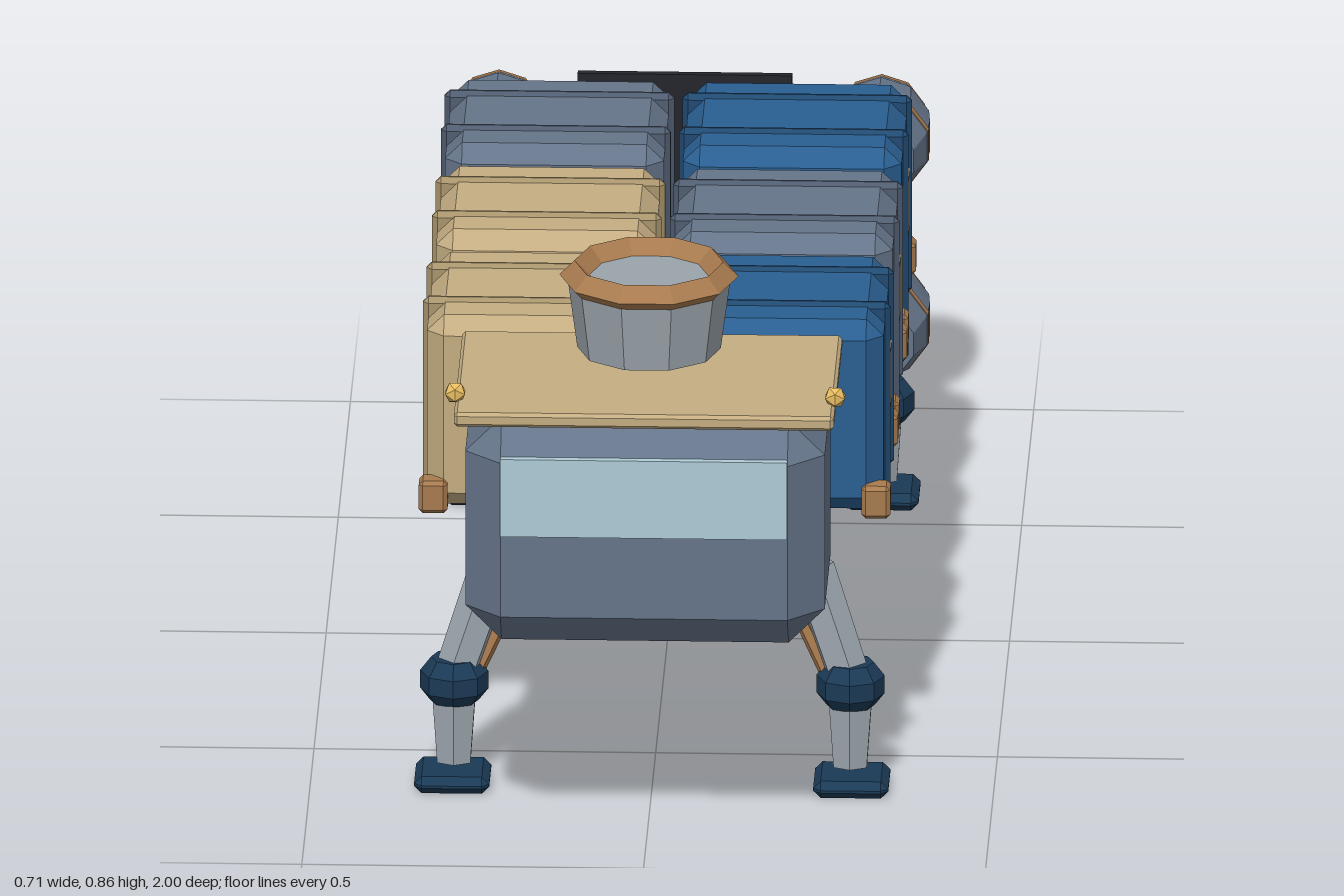
import * as THREE from 'three';
import { ConvexGeometry } from 'three/addons/geometries/ConvexGeometry.js';

const mat = (color) => new THREE.MeshStandardMaterial({ color, flatShading: true });
const M = {
  blue: mat(0x2a5f92), slate: mat(0x66758a), tan: mat(0xc4ad82), brown: mat(0xa87b4f),
  navy: mat(0x1b3a56), steel: mat(0x9aa3ab), gold: mat(0xe8bd62), glass: mat(0xaecbd6),
  dark: mat(0x23262d), darkBlue: mat(0x214a72), darkSlate: mat(0x505d70), darkTan: mat(0xa8946c),
};

function add(parent, name, geo, material, x = 0, y = 0, z = 0) {
  const m = new THREE.Mesh(geo, material);
  m.name = name;
  m.position.set(x, y, z);
  parent.add(m);
  return m;
}
const box = (w, h, d) => new THREE.BoxGeometry(w, h, d);

// Box with all edges and corners cut by c
function chamferBox(w, h, d, c) {
  const pts = [], [X, Y, Z] = [w / 2, h / 2, d / 2];
  for (const sx of [-1, 1]) for (const sy of [-1, 1]) for (const sz of [-1, 1]) {
    pts.push(
      new THREE.Vector3(sx * X, sy * (Y - c), sz * (Z - c)),
      new THREE.Vector3(sx * (X - c), sy * Y, sz * (Z - c)),
      new THREE.Vector3(sx * (X - c), sy * (Y - c), sz * Z));
  }
  return new ConvexGeometry(pts);
}

// Tapered bar running from point a to point b
function bar(parent, name, a, b, ra, rb, sides, material) {
  const A = new THREE.Vector3(...a), B = new THREE.Vector3(...b);
  const dir = B.clone().sub(A);
  const m = add(parent, name, new THREE.CylinderGeometry(rb, ra, dir.length(), sides), material);
  m.position.copy(A).add(B).multiplyScalar(0.5);
  m.quaternion.setFromUnitVectors(new THREE.Vector3(0, 1, 0), dir.normalize());
  return m;
}

function makeCockpit() {
  const g = new THREE.Group();
  g.name = 'cockpit';
  add(g, 'cabin', chamferBox(0.526, 0.345, 0.345, 0.053), M.slate, 0, 0.508, 0.818);
  add(g, 'windshield', box(0.42, 0.12, 0.02), M.glass, 0, 0.575, 0.985);
  add(g, 'roofPlate', chamferBox(0.556, 0.022, 0.36, 0.005), M.tan, 0, 0.695, 0.815);
  for (const s of [-1, 1])
    add(g, 'roofLamp', new THREE.IcosahedronGeometry(0.017, 0), M.gold, s * 0.278, 0.715, 0.93);
  // Floating drum above the roof
  const drum = add(g, 'drum', new THREE.CylinderGeometry(0.12, 0.105, 0.112, 10), M.steel, 0, 0.789, 0.775);
  drum.rotation.y = Math.PI / 10;
  const rim = add(g, 'drumRim', new THREE.TorusGeometry(0.109, 0.022, 4, 10), M.brown, 0, 0.845, 0.775);
  rim.rotation.x = Math.PI / 2;
  return g;
}

function makeContainer(side, z, body, rib, label) {
  const g = new THREE.Group();
  g.name = 'container';
  g.position.set(side * 0.174, 0.54, z);
  add(g, 'containerBody', chamferBox(0.32, 0.294, 0.32, 0.025), body);
  for (const s of [-1, 1])
    add(g, 'containerRib', chamferBox(0.336, 0.306, 0.02, 0.008), rib, 0, 0, s * 0.074);
  add(g, 'sidePanel', box(0.012, 0.085, 0.095), label, side * 0.16, 0.008, 0);
  for (const sx of [-1, 1]) for (const sz of [-1, 1])
    add(g, 'cornerBlock', chamferBox(0.042, 0.05, 0.04, 0.006), M.brown, sx * 0.15, -0.125, sz * 0.155);
  return g;
}

function makeLeg(side, hipZ, kneeZ, footZ) {
  const g = new THREE.Group();
  g.name = 'leg';
  const hip = [side * 0.232, 0.335, hipZ], knee = [side * 0.29, 0.165, kneeZ], ankle = [side * 0.29, 0.04, footZ];
  bar(g, 'upperLeg', hip, knee, 0.036, 0.033, 6, M.steel);
  bar(g, 'lowerLeg', knee, ankle, 0.038, 0.028, 6, M.steel);
  bar(g, 'legPiston', [side * 0.185, 0.33, hipZ], [side * 0.27, 0.15, kneeZ], 0.012, 0.012, 6, M.brown);
  const profile = [[0, -0.033], [0.036, -0.033], [0.05, -0.015], [0.05, 0.012], [0.034, 0.033], [0, 0.033]];
  add(g, 'knee', new THREE.LatheGeometry(profile.map((p) => new THREE.Vector2(...p)), 8), M.navy, ...knee);
  add(g, 'foot', chamferBox(0.11, 0.026, 0.108, 0.011), M.navy, side * 0.292, 0.017, footZ);
  return g;
}

function makeThruster(x, y) {
  const g = new THREE.Group();
  g.name = 'thruster';
  g.position.set(x, y, -0.855);
  g.rotation.x = Math.PI / 2; // local +y points to the front
  const profile = [[0, -0.095], [0.058, -0.095], [0.074, -0.045], [0.077, 0], [0.074, 0.05], [0.056, 0.11], [0, 0.11]];
  add(g, 'thrusterBody', new THREE.LatheGeometry(profile.map((p) => new THREE.Vector2(...p)), 10), M.slate);
  add(g, 'thrusterBand', new THREE.CylinderGeometry(0.0755, 0.077, 0.012, 10), M.brown, 0, 0.04, 0);
  add(g, 'rearRing', new THREE.CylinderGeometry(0.066, 0.052, 0.026, 10), M.brown, 0, -0.094, 0);
  add(g, 'rearCap', new THREE.CylinderGeometry(0.04, 0.04, 0.012, 10), M.tan, 0, -0.107, 0);
  add(g, 'frontIntake', new THREE.CylinderGeometry(0.048, 0.048, 0.01, 10), M.dark, 0, 0.109, 0);
  return g;
}

function makeRamp() {
  const g = new THREE.Group();
  g.name = 'ramp';
  g.position.set(0, 0.132, -0.846);
  g.rotation.x = -Math.atan2(0.245, 0.27); // high end at the front
  add(g, 'rampPlate', chamferBox(0.314, 0.016, 0.362, 0.004), M.slate);
  for (const s of [-1, 1]) {
    const m = add(g, 'rampStripe', box(0.2, 0.026, 0.02), M.gold, 0, 0, s * 0.075);
    m.rotation.y = s * 0.46;
  }
  return g;
}

export function createModel() {
  const root = new THREE.Group();
  root.name = 'cargoLander';
  root.add(makeCockpit());

  // Chassis
  for (const s of [-1, 1])
    add(root, 'chassisRail', chamferBox(0.07, 0.088, 1.69, 0.006), M.steel, s * 0.2, 0.352, -0.1);
  for (let i = -2; i <= 2; i++)
    add(root, 'crossMember', box(0.34, 0.045, 0.046), M.slate, 0, 0.35, i * 0.3);

  // Cargo, front to back on each side
  const blue = [M.blue, M.darkBlue, M.tan], slate = [M.slate, M.darkSlate, M.tan], tan = [M.tan, M.darkTan, M.navy];
  const rows = [0.38, 0.01, -0.363];
  [blue, slate, blue].forEach((c, i) => root.add(makeContainer(1, rows[i], ...c)));
  [tan, tan, slate].forEach((c, i) => root.add(makeContainer(-1, rows[i], ...c)));

  // Legs, thrusters and their posts
  for (const s of [-1, 1]) {
    root.add(makeLeg(s, 0.612, 0.635, 0.643), makeLeg(s, -0.562, -0.592, -0.602));
    root.add(makeThruster(s * 0.28, 0.48), makeThruster(s * 0.28, 0.195));
    add(root, 'thrusterPost', box(0.05, 0.3, 0.068), M.steel, s * 0.28, 0.338, -0.838);
    add(root, 'thrusterArm', box(0.1, 0.05, 0.06), M.steel, s * 0.245, 0.35, -0.838);
  }

  // Rear door, ramp and main engine
  add(root, 'rearDoor', box(0.314, 0.37, 0.012), M.dark, 0, 0.44, -0.71);
  add(root, 'doorStrip', box(0.26, 0.012, 0.01), M.tan, 0, 0.6, -0.717);
  root.add(makeRamp());
  const engine = add(root, 'mainEngine', new THREE.CylinderGeometry(0.09, 0.09, 0.07, 10), M.brown, 0, 0.408, -0.965);
  engine.rotation.x = Math.PI / 2;
  return root;
}
